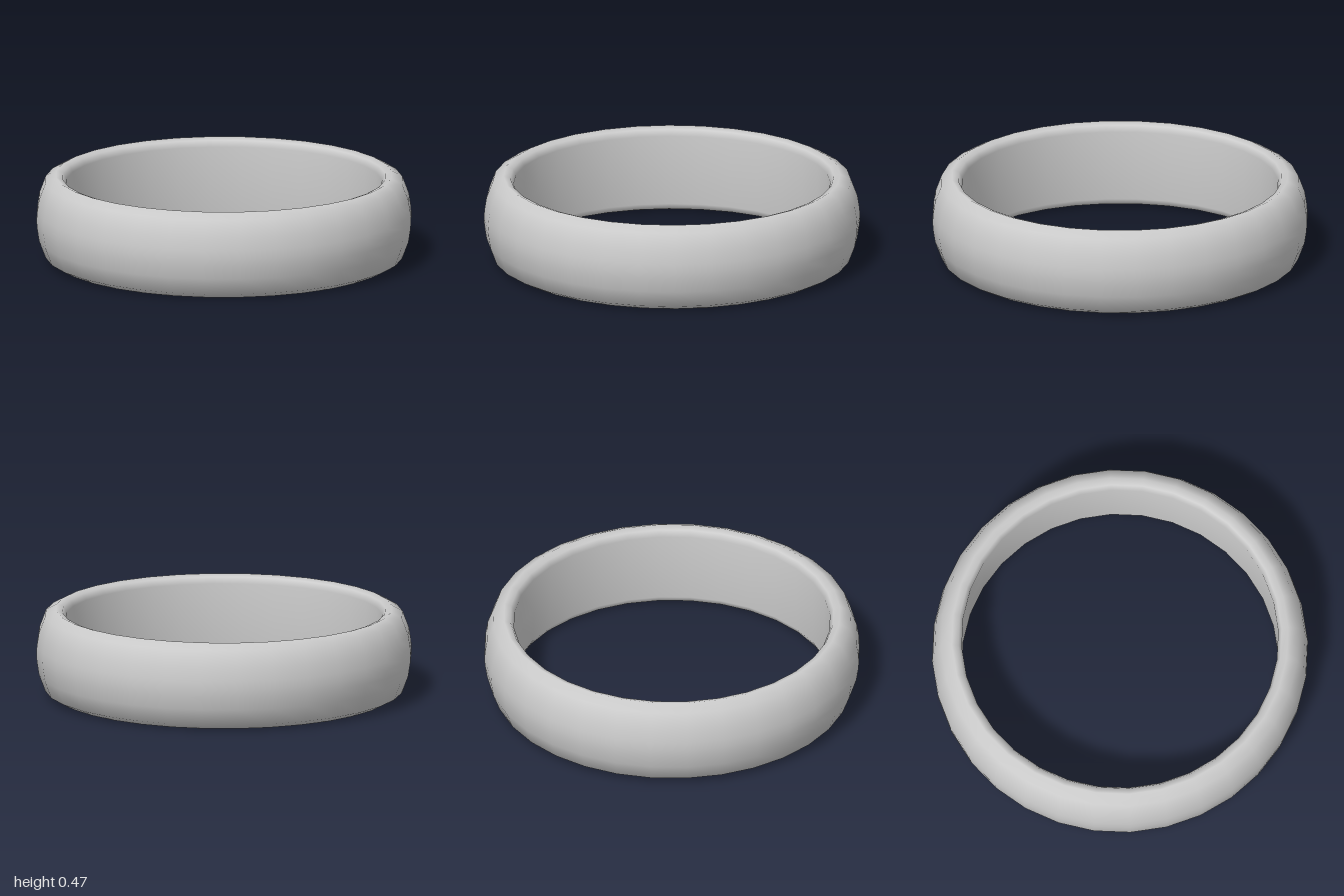
import * as THREE from 'three';

export function createModel() {
  const group = new THREE.Group();
  group.name = 'ring';
  const height = 0.466, mid = height / 2;

  // Lower half of the section: [radius, height], from inner wall to outer bulge
  const lower = [
    [0.842, mid], [0.842, 0.045], [0.86, 0.012], [0.895, 0],
    [0.952, 0.03], [0.986, 0.12], [0.997, 0.19],
  ];
  // Mirror it upward to close the section
  const upper = lower.map(([r, y]) => [r, height - y]).reverse();
  const profile = [...lower, [1, mid], ...upper].map(([r, y]) => new THREE.Vector2(r, y));

  // Closed comfort-fit band with smooth normals
  const band = new THREE.Mesh(
    new THREE.LatheGeometry(profile, 32),
    new THREE.MeshStandardMaterial({ color: 0xcccccc })
  );
  band.name = 'band';
  group.add(band);
  return group;
}
